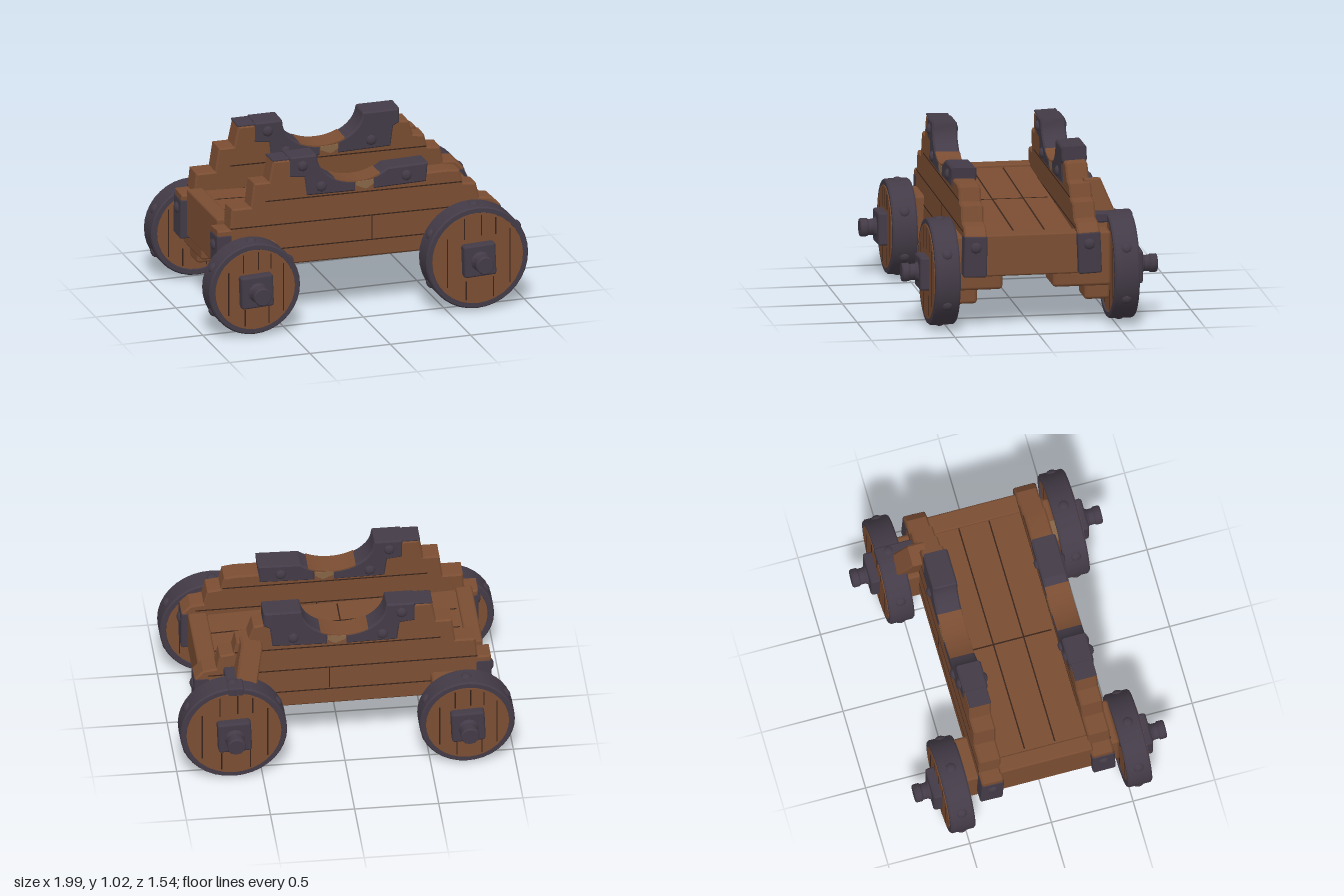
import * as THREE from 'three';
import { toCreasedNormals } from 'three/addons/utils/BufferGeometryUtils.js';
import { RoundedBoxGeometry } from 'three/addons/geometries/RoundedBoxGeometry.js';

const material = (name, color) => Object.assign(new THREE.MeshStandardMaterial({ color }), { name });
const wood = material('wood', 0x7a4d32);
const iron = material('iron', 0x433b47);
const worn = material('worn edge', 0x866545);
const seam = material('dark seam', 0x38231a);

function add(parent, name, geometry, mat, x = 0, y = 0, z = 0) {
  const mesh = new THREE.Mesh(geometry, mat);
  mesh.name = name;
  mesh.position.set(x, y, z);
  parent.add(mesh);
  return mesh;
}

// Box given by its min and max on each axis, with softened edges
function box(parent, name, mat, [x0, x1], [y0, y1], [z0, z1], round = 0.012) {
  const size = [x1 - x0, y1 - y0, z1 - z0].map(Math.abs);
  const r = Math.min(round, Math.min(...size) * 0.4);
  return add(parent, name, new RoundedBoxGeometry(...size, 1, r), mat,
    (x0 + x1) / 2, (y0 + y1) / 2, (z0 + z1) / 2);
}

// Thin dark line lying on a face
function groove(parent, sx, sy, sz, x, y, z) {
  return add(parent, 'plankSeam', new THREE.BoxGeometry(sx, sy, sz), seam, x, y, z);
}

// Outline extruded along z, centred, with a small bevel inside the outline
function slab(points, thickness, bevel = 0.01) {
  const shape = new THREE.Shape(points.map(([x, y]) => new THREE.Vector2(x, y)));
  const g = new THREE.ExtrudeGeometry(shape, {
    depth: thickness - 2 * bevel, bevelEnabled: true, bevelThickness: bevel,
    bevelSize: bevel, bevelOffset: -bevel, bevelSegments: 1,
  });
  g.translate(0, 0, bevel - thickness / 2);
  return toCreasedNormals(g, 0.5);
}

// Points along the barrel rest, angles in degrees measured below the horizontal
function rest(from, to, steps) {
  return Array.from({ length: steps + 1 }, (_, i) => {
    const a = THREE.MathUtils.degToRad(from + (to - from) * i / steps);
    return [-0.008 + 0.25 * Math.cos(a), 1.0 - 0.18 * Math.sin(a)];
  });
}

// Flattened bolt head pointing along a direction
function bolt(parent, x, y, z, dir, r = 0.034) {
  const g = new THREE.SphereGeometry(r, 8, 4, 0, Math.PI * 2, 0, Math.PI / 2).scale(1, 0.65, 1);
  const mesh = add(parent, 'bolt', g, iron, x, y, z);
  mesh.quaternion.setFromUnitVectors(new THREE.Vector3(0, 1, 0), dir);
}

function makeWheel(r) {
  const wheel = new THREE.Group();
  wheel.name = 'wheel';
  const disc = new THREE.CylinderGeometry(r - 0.036, r - 0.036, 0.145, 32).rotateX(Math.PI / 2);
  add(wheel, 'wheelPlanks', disc, wood, 0, 0, 0.006);
  // Iron tyre
  const w = r - 0.04;
  const profile = [[w, -0.062], [w + 0.005, -0.075], [r - 0.008, -0.075], [r, -0.065],
    [r, 0.065], [r - 0.008, 0.075], [w + 0.005, 0.075], [w, 0.062], [w, -0.062]];
  const tyre = new THREE.LatheGeometry(profile.map(p => new THREE.Vector2(...p)), 36).rotateX(Math.PI / 2);
  add(wheel, 'tyre', toCreasedNormals(tyre, 0.5), iron);
  for (let i = 0; i < 6; i++) {
    const a = (i + 0.5) * Math.PI / 3;
    const d = new THREE.Vector3(Math.cos(a), Math.sin(a), 0);
    bolt(wheel, d.x * (r - 0.008), d.y * (r - 0.008), 0, d);
  }
  // Broken seams between the wheel planks, on both faces
  for (const [t, from, to] of [[-0.68, -0.6, 0.5], [-0.3, 0.45, 0.92], [-0.26, -0.92, -0.5],
    [0.08, 0.5, 0.96], [0.35, -0.9, -0.45], [0.4, 0.5, 0.88], [0.72, -0.62, 0.6]]) {
    const R = r - 0.04;
    for (const z of [0.079, -0.067]) groove(wheel, 0.007, (to - from) * R, 0.003, t * R, (from + to) / 2 * R, z);
  }
  // Hub plate and axle end
  box(wheel, 'hubPlate', iron, [-0.1, 0.1], [-0.1, 0.1], [0.06, 0.132], 0.015).rotation.z = 0.04;
  const hub = [[0, 0.1], [0.065, 0.1], [0.06, 0.135], [0.049, 0.15], [0.049, 0.18], [0.056, 0.187],
    [0.056, 0.22], [0.05, 0.228], [0, 0.228]];
  const hubGeo = new THREE.LatheGeometry(hub.map(p => new THREE.Vector2(...p)), 12).rotateX(Math.PI / 2);
  add(wheel, 'axleEnd', toCreasedNormals(hubGeo, 0.6), iron);
  return wheel;
}

function makeCheek(side) {
  const cheek = new THREE.Group();
  const front = side > 0;
  cheek.name = front ? 'frontCheek' : 'backCheek';
  // The front cheek has lost the upper horn at its +x end
  const hornStart = front ? 42 : 2;
  const hornWood = front ? [[0.42, 0.82], [0.41, 0.87]] : [[0.53, 0.91], [0.46, 0.92], [0.45, 0.985]];
  const hornIron = front ? [[0.43, 0.885]] : [[0.435, 0.89], [0.47, 0.91], [0.47, 1.0], [0.25, 1.0]];
  // Stepped side wall with the barrel rest cut out of its top
  const outline = [[-0.85, 0.35], [0.85, 0.33], [0.88, 0.45], [0.88, 0.57], [0.83, 0.62], [0.75, 0.63],
    [0.73, 0.72], [0.65, 0.73], [0.63, 0.81], [0.56, 0.82], ...hornWood,
    ...rest(hornStart, 178, 18).map(([x, y]) => [x, y - 0.008]),
    [-0.3, 0.99], [-0.53, 0.995], [-0.555, 0.87], [-0.65, 0.87], [-0.67, 0.725],
    [-0.79, 0.725], [-0.8, 0.6], [-0.88, 0.6], [-0.88, 0.45]];
  add(cheek, 'cheekPlanks', slab(outline, 0.134, 0.01), wood);
  // Iron saddle plates wrapped over the rest, with a thin cap at one end
  const left = [[-0.43, 1.01], [-0.43, 0.885], [-0.34, 0.875], [-0.325, 0.76], [-0.02, 0.755],
    ...rest(93, 180, 9), [-0.262, 1.01]];
  const right = [[0.09, 0.758], [0.42, 0.765], ...hornIron, ...rest(hornStart, 66, 7)];
  add(cheek, 'saddlePlateLeft', slab(left, 0.15), iron);
  add(cheek, 'saddlePlateRight', slab(right, 0.15), iron);
  box(cheek, 'saddleCap', iron, [-0.535, -0.42], [0.992, 1.005], [-0.066, 0.066]);
  // Bare wood at the bottom of the rest
  const bare = [...rest(56, 125, 10).map(([x, y]) => [x, y + 0.003]),
    ...rest(125, 56, 10).map(([x, y]) => [x, y - 0.012])];
  add(cheek, 'restWood', slab(bare, 0.146, 0.002), wood);
  for (const z of [-0.07, 0.07]) {
    const patch = [[-0.02, 0.79], [0.045, 0.762], [0.09, 0.79], [0.088, 0.817], [-0.02, 0.815]];
    add(cheek, 'wornPatch', slab(patch, 0.009, 0.001), worn, 0, 0, z);
  }
  for (const s of [-1, 1]) {
    const d = new THREE.Vector3(0, 0, s);
    for (const [x, y] of [[-0.35, 0.95], [-0.235, 0.81], [0.295, 0.82]]) bolt(cheek, x, y, s * 0.073, d);
    // Plank seams on both faces
    const z = s * 0.0672;
    for (const [x, y, len] of [[-0.1, 0.445, 1.3], [0, 0.595, 1.6], [0.03, 0.745, 1.22]])
      groove(cheek, len, 0.007, 0.003, x, y, z).rotation.z = -0.012;
    groove(cheek, 0.007, 0.14, 0.003, 0.08, 0.52, z);
    // Iron corner straps at both ends
    box(cheek, 'cornerStrap', iron, [s * 0.79, s * 0.885], [0.32, 0.57], [-0.07, 0.07]);
    bolt(cheek, s * 0.88, 0.5, 0, new THREE.Vector3(s, 0, 0), 0.036);
  }
  // Both walls lean slightly
  cheek.position.z = front ? 0.366 : -0.346;
  cheek.rotation.x = front ? -0.025 : 0.04;
  return cheek;
}

export function createModel() {
  const model = new THREE.Group();
  model.name = 'wheeledCarriage';

  // Bed between the cheeks, sloping down towards +x
  const bed = [[-0.83, 0.37], [0.83, 0.35], [0.83, 0.545], [-0.83, 0.615]];
  add(model, 'bed', slab(bed, 0.56), wood, 0, 0, 0.015);
  const bedSeams = new THREE.Group();
  bedSeams.name = 'bedSeams';
  bedSeams.position.y = 0.5805;
  bedSeams.rotation.z = -0.042;
  model.add(bedSeams);
  for (const z of [-0.09, 0.095]) groove(bedSeams, 1.46, 0.003, 0.008, 0, 0, z);
  groove(bedSeams, 0.008, 0.003, 0.5, -0.04, 0, 0.015);
  box(model, 'endBeam', wood, [0.73, 0.845], [0.315, 0.565], [-0.27, 0.3]);
  box(model, 'endBeam', wood, [-0.845, -0.745], [0.335, 0.63], [-0.27, 0.3]);

  for (const side of [1, -1]) {
    model.add(makeCheek(side));
    for (const [x, r] of [[-0.715, 0.283], [0.673, 0.318]]) {
      const wheel = makeWheel(r);
      wheel.position.set(x, r + 0.006, side * (side > 0 && x < 0 ? 0.546 : 0.537));
      if (side < 0) wheel.rotation.y = Math.PI;
      model.add(wheel);
      // Axle block, its lower foot and the outer bearer
      const c = x < 0 ? -0.66 : 0.64;
      const inner = side > 0 ? 0.175 : -0.125;
      const top = x < 0 ? 0.51 : 0.55;
      box(model, 'axleBlock', wood, [c - 0.14, c + 0.14], [0.22, 0.38], [inner, side * 0.475], 0.02);
      box(model, 'axleFoot', wood, [c - 0.1, c + 0.1], [0.13, 0.3], [side * 0.32, side * 0.475], 0.02);
      box(model, 'axleBearer', wood, [c - 0.14, c + 0.14], [0.3, top], [side * 0.36, side * 0.475], 0.02);
    }
  }
  box(model, 'wornBearerEdge', worn, [0.51, 0.63], [0.546, 0.554], [0.436, 0.47]);

  // Leaning brace and strap behind the back cheek
  const brace = slab([[0.34, 0.84], [0.44, 0.84], [0.525, 0.63], [0.5, 0.5], [0.34, 0.5]], 0.13);
  add(model, 'leaningBrace', brace.rotateY(Math.PI / 2), wood, 0.71, 0, 0).rotation.z = 0.2;
  box(model, 'braceStrap', iron, [0.61, 0.71], [0.585, 0.645], [-0.617, -0.38]);
  return model;
}
